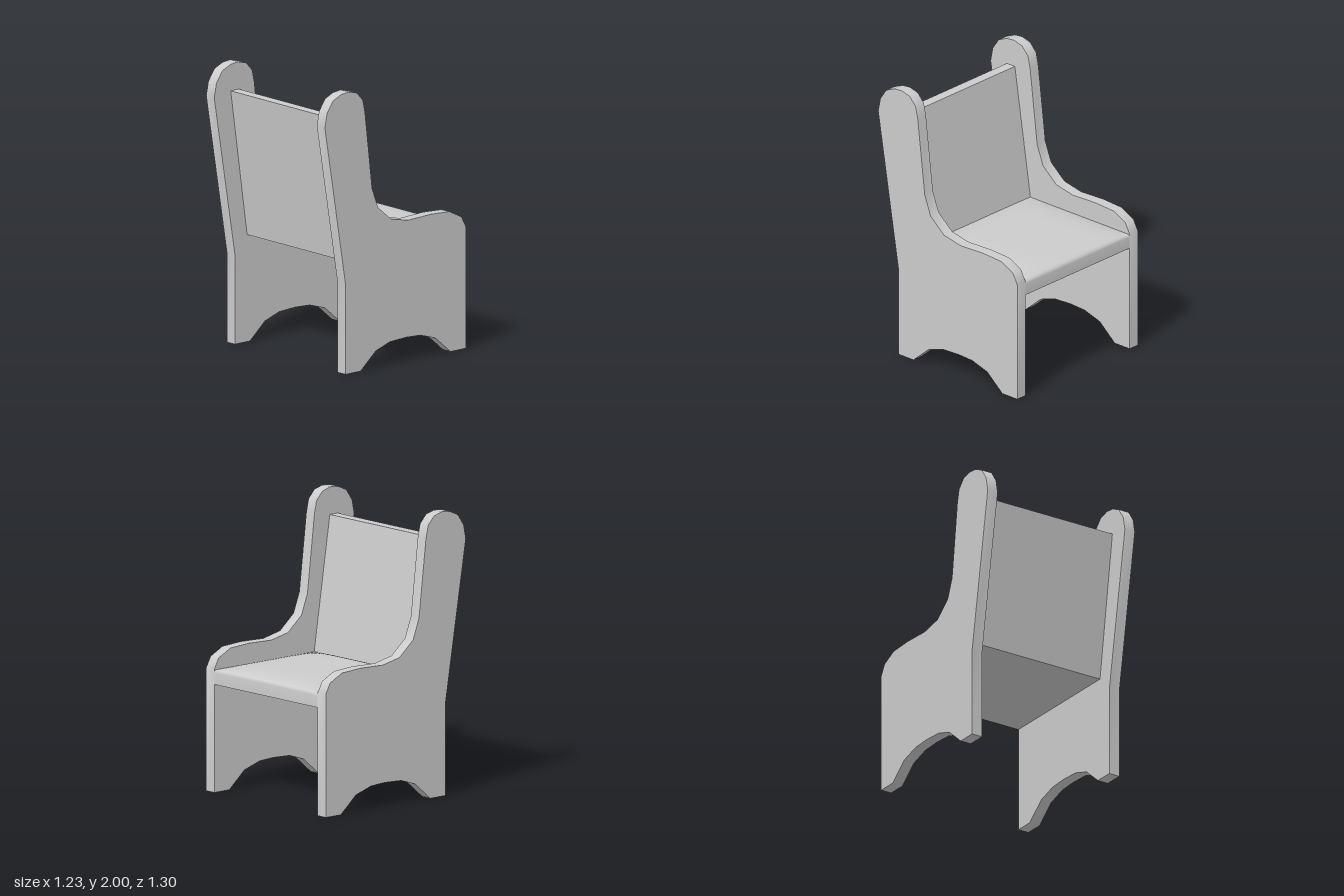
import * as THREE from 'three';
import { toCreasedNormals } from 'three/addons/utils/BufferGeometryUtils.js';

const material = new THREE.MeshStandardMaterial({ color: 0xcccccc });
const INNER = 0.53; // half width between the side panels
const THICK = 0.083; // side panel thickness

// Extrudes a side profile of [z, y] points along x, centred on x = 0.
function extrudeProfile(points, width, crease) {
  const shape = new THREE.Shape(points.map(([z, y]) => new THREE.Vector2(z, y)));
  const geometry = new THREE.ExtrudeGeometry(shape, { depth: width, bevelEnabled: false });
  geometry.translate(0, 0, -width / 2);
  geometry.rotateY(-Math.PI / 2);
  return toCreasedNormals(geometry, crease);
}

function addPart(group, name, geometry, x = 0) {
  const mesh = new THREE.Mesh(geometry, material);
  mesh.name = name;
  mesh.position.x = x;
  group.add(mesh);
}

// Seat with a cushioned top that falls off towards its edges and a softened front edge.
function seatGeometry() {
  const front = -0.65, back = 0.285, bottom = 0.76, top = 0.862, radius = 0.018, bulge = 0.035;
  const geometry = new THREE.BoxGeometry(2 * INNER, 1, 1, 24, 1, 32);
  const p = geometry.attributes.position;
  // Rows crowd towards the edges, where the top curves most
  const crowd = (t) => Math.sin(t * Math.PI / 2);
  for (let i = 0; i < p.count; i++) {
    const u = crowd(p.getX(i) / INNER);
    const v = crowd(p.getZ(i) * 2);
    const z = front + (back - front) * (v + 1) / 2;
    let y = bottom;
    if (p.getY(i) > 0) {
      const d = Math.max(0, front + radius - z);
      y = top - radius + Math.sqrt(Math.max(0, radius * radius - d * d));
      y += bulge * (1 - u ** 6) * (1 - v ** 6);
    }
    p.setXYZ(i, u * INNER, y, z);
  }
  return toCreasedNormals(geometry, 1);
}

export function createModel() {
  const chair = new THREE.Group();
  chair.name = 'chair';

  // Side panels: feet with an arch, low arm at the front, tall rounded back
  const side = [
    [0.46, 0], [0.46, 0.64], [0.65, 1.78], [0.63, 1.88], [0.575, 1.96],
    [0.5, 1.993], [0.43, 2], [0.355, 1.98], [0.3, 1.92], [0.28, 1.83],
    [0.215, 1.28], [0.16, 1.135], [0.035, 1.03], [-0.12, 0.998], [-0.33, 1.005],
    [-0.5, 0.995], [-0.61, 0.94], [-0.65, 0.865], [-0.65, 0], [-0.51, 0],
    [-0.37, 0.12], [-0.23, 0.163], [-0.1, 0.17], [0.05, 0.163], [0.18, 0.12], [0.32, 0],
  ].reverse();
  const sideGeometry = extrudeProfile(side, THICK, 0.9);
  addPart(chair, 'leftSidePanel', sideGeometry, INNER + THICK / 2);
  addPart(chair, 'rightSidePanel', sideGeometry, -INNER - THICK / 2);

  // Tilted backrest board
  const backrest = [[0.262, 0.76], [0.347, 0.76], [0.498, 1.805], [0.423, 1.805]];
  addPart(chair, 'backrest', extrudeProfile(backrest, 2 * INNER, 0.5));

  addPart(chair, 'seat', seatGeometry());
  return chair;
}
